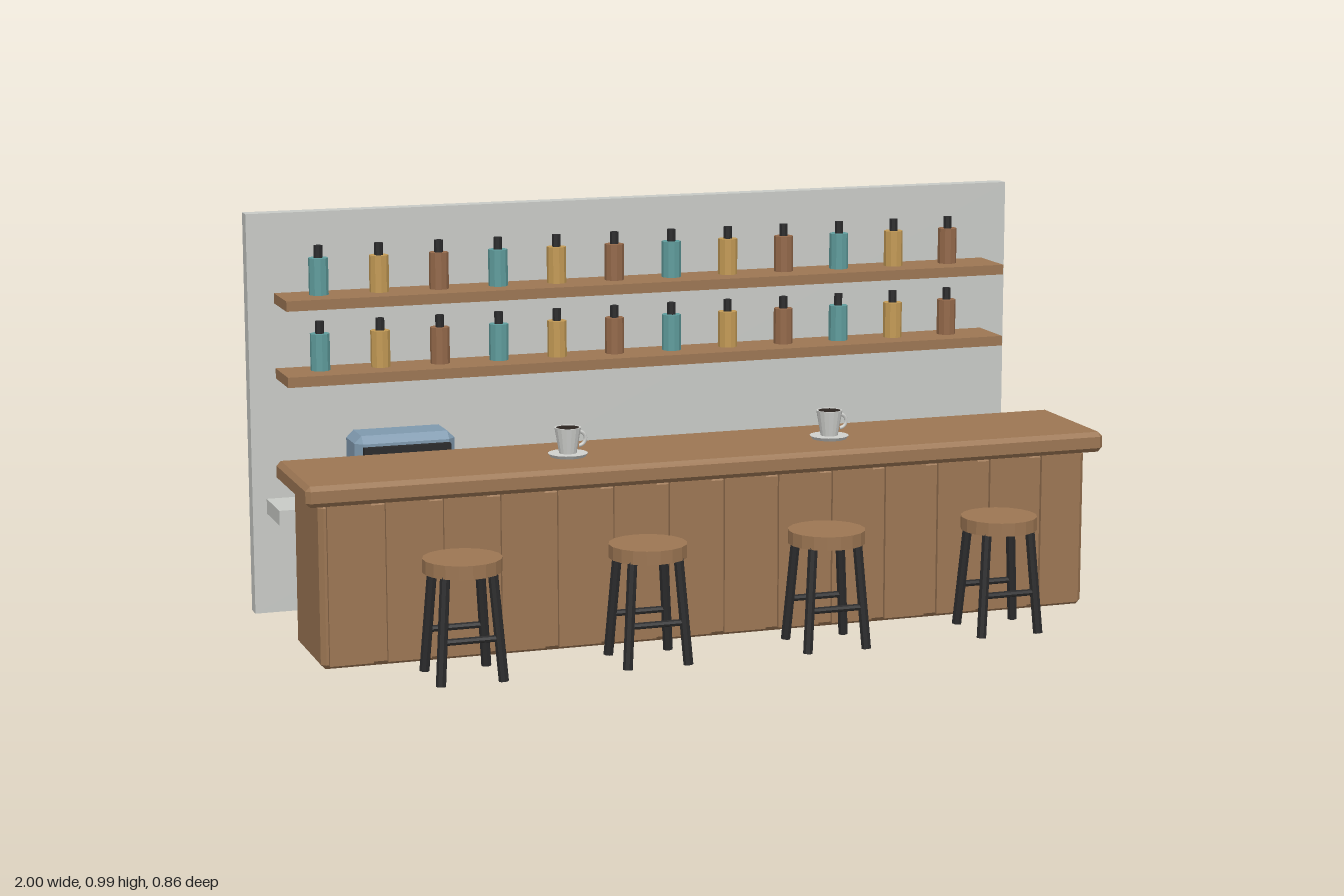
import * as THREE from 'three';
import { ConvexGeometry } from 'three/addons/geometries/ConvexGeometry.js';

const mat = (name, color) => {
  const m = new THREE.MeshStandardMaterial({ color });
  m.name = name;
  return m;
};

export function createModel() {
  const root = new THREE.Group();
  root.name = 'coffeeBar';
  const wood = mat('wood', 0x9c7653);
  const grey = mat('paleGrey', 0xc8cac6);
  const black = mat('black', 0x2a2a2b);
  const blue = mat('steelBlue', 0x7f99ae);
  const teal = mat('tealGlass', 0x5f9c9c);
  const amber = mat('amberGlass', 0xc39a55);
  const brown = mat('brownGlass', 0x94694a);
  const china = mat('china', 0xd0d1ce);
  const coffee = mat('coffee', 0x2b2420);

  const flat = (g) => {
    const f = g.index ? g.toNonIndexed() : g;
    f.computeVertexNormals();
    return f;
  };
  const add = (parent, name, geo, material, x = 0, y = 0, z = 0) => {
    const m = new THREE.Mesh(geo, material);
    m.name = name;
    m.position.set(x, y, z);
    parent.add(m);
    return m;
  };
  // Box given by its limits on each axis
  const box = (parent, name, material, x0, x1, y0, y1, z0, z1) =>
    add(parent, name, new THREE.BoxGeometry(x1 - x0, y1 - y0, z1 - z0), material,
      (x0 + x1) / 2, (y0 + y1) / 2, (z0 + z1) / 2);
  // Same, with every edge chamfered by c
  const chamferBox = (parent, name, material, x0, x1, y0, y1, z0, z1, c) => {
    const a = (x1 - x0) / 2, b = (y1 - y0) / 2, d = (z1 - z0) / 2, pts = [];
    for (const sx of [-1, 1]) for (const sy of [-1, 1]) for (const sz of [-1, 1]) {
      pts.push(new THREE.Vector3(sx * a, sy * (b - c), sz * (d - c)));
      pts.push(new THREE.Vector3(sx * (a - c), sy * b, sz * (d - c)));
      pts.push(new THREE.Vector3(sx * (a - c), sy * (b - c), sz * d));
    }
    return add(parent, name, new ConvexGeometry(pts), material,
      (x0 + x1) / 2, (y0 + y1) / 2, (z0 + z1) / 2);
  };
  // Straight rod between two points
  const rod = (parent, name, p, q, r, material) => {
    const dir = q.clone().sub(p);
    const mid = p.clone().add(q).multiplyScalar(0.5);
    const m = add(parent, name, flat(new THREE.CylinderGeometry(r, r, dir.length(), 8)),
      material, mid.x, mid.y, mid.z);
    m.quaternion.setFromUnitVectors(new THREE.Vector3(0, 1, 0), dir.normalize());
  };

  // Back wall, shelves and rear worktop
  box(root, 'backWall', grey, -1, 1, 0, 0.99, -0.43, -0.39);
  box(root, 'rearWorktop', grey, -0.965, 0.965, 0.25, 0.287, -0.39, -0.245);
  const shelfTops = [0.61, 0.795];
  for (const y of shelfTops) box(root, 'shelf', wood, -0.935, 0.935, y - 0.025, y, -0.39, -0.25);

  // Bottles
  const bottleGeo = flat(new THREE.CylinderGeometry(0.024, 0.024, 0.09, 10));
  const neckGeo = flat(new THREE.CylinderGeometry(0.011, 0.011, 0.03, 8));
  const glass = [teal, amber, brown];
  for (const y of shelfTops) for (let i = 0; i < 12; i++) {
    const bottle = new THREE.Group();
    bottle.name = 'bottle';
    bottle.position.set(-0.837 + i * 0.15, y, -0.332);
    add(bottle, 'bottleBody', bottleGeo, glass[i % 3], 0, 0.045, 0);
    add(bottle, 'bottleNeck', neckGeo, black, 0, 0.105, 0);
    root.add(bottle);
  }

  // Bar counter with planked front
  chamferBox(root, 'barTop', wood, -1, 1, 0.39, 0.44, -0.11, 0.22, 0.011);
  chamferBox(root, 'barBody', wood, -0.965, 0.965, 0, 0.392, -0.075, 0.187, 0.011);
  const planks = 14, pitch = 1.93 / planks;
  for (let i = 0; i < planks; i++) {
    const x = (i - (planks - 1) / 2) * pitch, h = pitch / 2 - 0.017;
    box(root, 'frontPlank', wood, x - h, x + h, 0.01, 0.387, 0.18, 0.197);
  }

  // Coffee machine
  const machine = new THREE.Group();
  machine.name = 'coffeeMachine';
  root.add(machine);
  chamferBox(machine, 'machineBody', blue, -0.78, -0.53, 0.287, 0.46, -0.335, -0.215, 0.018);
  box(machine, 'machinePanel', black, -0.763, -0.547, 0.335, 0.435, -0.217, -0.2);
  for (const x of [-0.715, -0.597])
    box(machine, 'machineHandle', black, x - 0.011, x + 0.011, 0.338, 0.36, -0.2, -0.135);

  // Cups on saucers
  const V2 = (x, y) => new THREE.Vector2(x, y);
  const cupGeo = new THREE.LatheGeometry(
    [V2(0.001, 0.008), V2(0.021, 0.008), V2(0.032, 0.07), V2(0.028, 0.07), V2(0.027, 0.062)], 16);
  for (const x of [-0.333, 0.333]) {
    const cup = new THREE.Group();
    cup.name = 'cupAndSaucer';
    cup.position.set(x, 0.44, 0.068);
    add(cup, 'saucer', flat(new THREE.CylinderGeometry(0.048, 0.042, 0.008, 16)), china, 0, 0.004, 0);
    add(cup, 'cup', flat(cupGeo), china);
    add(cup, 'coffee', new THREE.CylinderGeometry(0.0285, 0.0285, 0.004, 16), coffee, 0, 0.067, 0);
    add(cup, 'cupHandle', new THREE.TorusGeometry(0.017, 0.0045, 6, 12, Math.PI), china, 0.027, 0.041, 0)
      .rotation.z = -Math.PI / 2;
    root.add(cup);
  }

  // Stools
  const seatGeo = flat(new THREE.CylinderGeometry(0.092, 0.092, 0.032, 18));
  for (let i = 0; i < 4; i++) {
    const stool = new THREE.Group();
    stool.name = 'stool';
    stool.position.set((i - 1.5) * 0.445, 0, 0.336);
    add(stool, 'stoolSeat', seatGeo, wood, 0, 0.263, 0);
    for (const sz of [-1, 1]) {
      for (const sx of [-1, 1])
        rod(stool, 'stoolLeg', new THREE.Vector3(sx * 0.074, 0, sz * 0.074),
          new THREE.Vector3(sx * 0.056, 0.25, sz * 0.056), 0.012, black);
      rod(stool, 'stoolRung', new THREE.Vector3(-0.067, 0.1, sz * 0.067),
        new THREE.Vector3(0.067, 0.1, sz * 0.067), 0.008, black);
    }
    root.add(stool);
  }
  return root;
}
